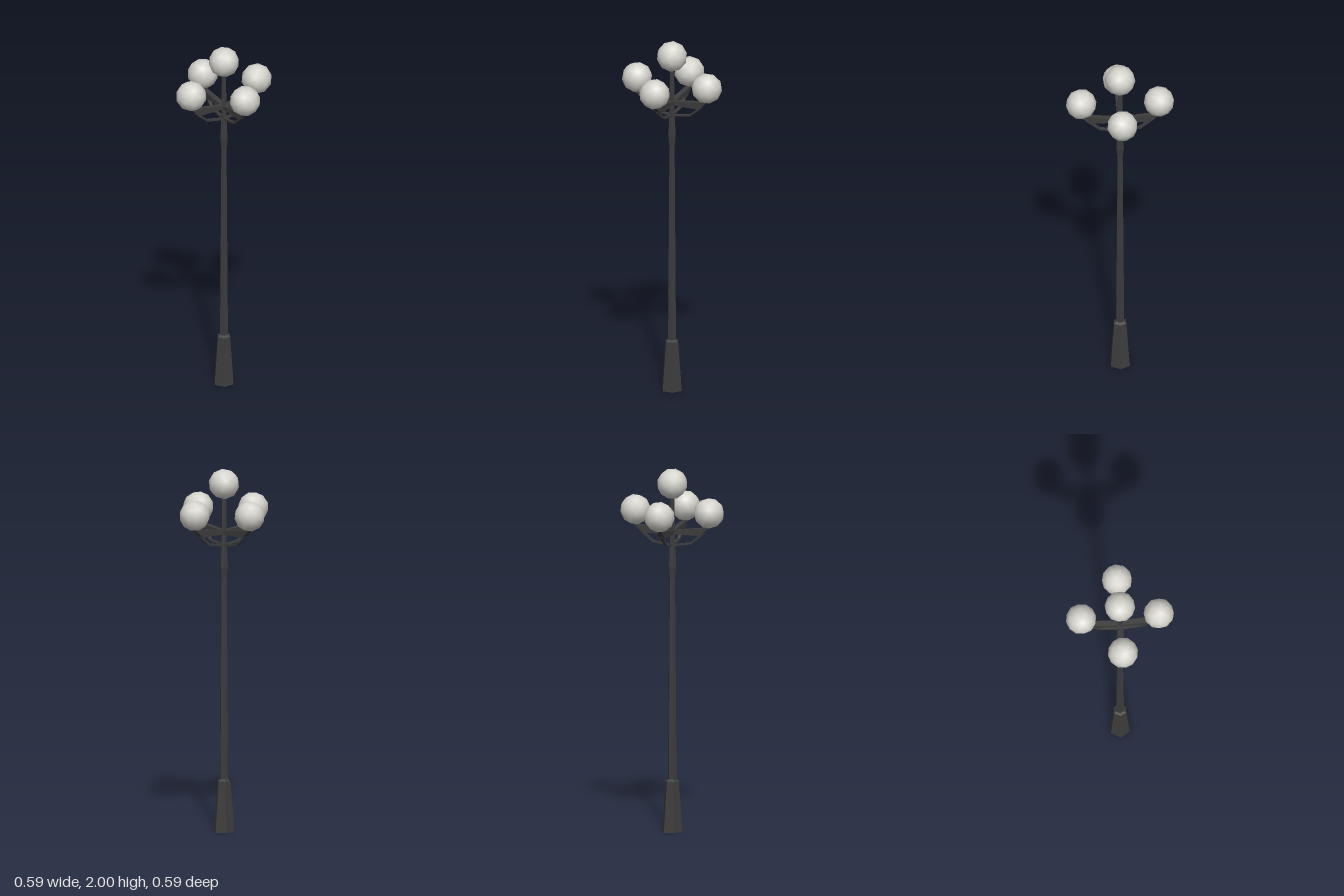
import * as THREE from 'three';

export function createModel() {
  const lamp = new THREE.Group();
  lamp.name = 'streetLamp';
  const iron = new THREE.MeshStandardMaterial({ name: 'darkIron', color: 0x3c3c3d, flatShading: true });
  const glass = new THREE.MeshStandardMaterial({ name: 'paleGlass', color: 0xd4d3cc });

  const add = (parent, name, geometry, material) => {
    const mesh = new THREE.Mesh(geometry, material);
    mesh.name = name;
    parent.add(mesh);
    return mesh;
  };

  // Tapered six-sided section with corners on the x axis
  const section = (name, y0, y1, r0, r1) => {
    const g = new THREE.CylinderGeometry(r1, r0, y1 - y0, 6);
    g.rotateY(Math.PI / 6);
    g.translate(0, (y0 + y1) / 2, 0);
    add(lamp, name, g, iron);
  };
  section('base', 0, 0.28, 0.06, 0.038);
  section('baseCap', 0.28, 0.29, 0.038, 0.025);
  section('pole', 0.28, 1.42, 0.025, 0.016);
  section('collarLower', 1.4, 1.46, 0.016, 0.023);
  section('collarUpper', 1.46, 1.6, 0.023, 0.016);
  section('upperPole', 1.6, 1.86, 0.016, 0.013);

  // Flat profile in the x-y plane, given a width along z
  const plate = (points, width) => {
    const shape = new THREE.Shape(points.map(([x, y]) => new THREE.Vector2(x, y)));
    const g = new THREE.ExtrudeGeometry(shape, { depth: width, bevelEnabled: false });
    return g.translate(0, 0, -width / 2);
  };
  const armShape = plate([[0, 1.642], [0.165, 1.64], [0.215, 1.684], [0.19, 1.684], [0, 1.662]], 0.03);
  const strutShape = plate([
    [0, 1.572], [0.112, 1.59], [0.185, 1.65], [0.17, 1.65], [0.107, 1.6], [0, 1.583],
  ], 0.016);

  // Each globe is turned differently
  const globe = (parent, x, y, turn) => {
    const mesh = add(parent, 'globe', new THREE.IcosahedronGeometry(0.084, 1), glass);
    mesh.position.set(x, y, 0);
    mesh.rotation.set(turn, turn * 1.7, turn * 0.6);
  };

  // Four arms with braces and globes
  for (let i = 0; i < 4; i++) {
    const arm = new THREE.Group();
    arm.name = 'arm' + (i + 1);
    arm.rotation.y = i * Math.PI / 2;
    add(arm, 'armBar', armShape, iron);
    add(arm, 'brace', strutShape, iron);
    globe(arm, 0.212, 1.765, 0.4 + i * 0.9);
    lamp.add(arm);
  }
  globe(lamp, 0, 1.917, 0.25);
  return lamp;
}
